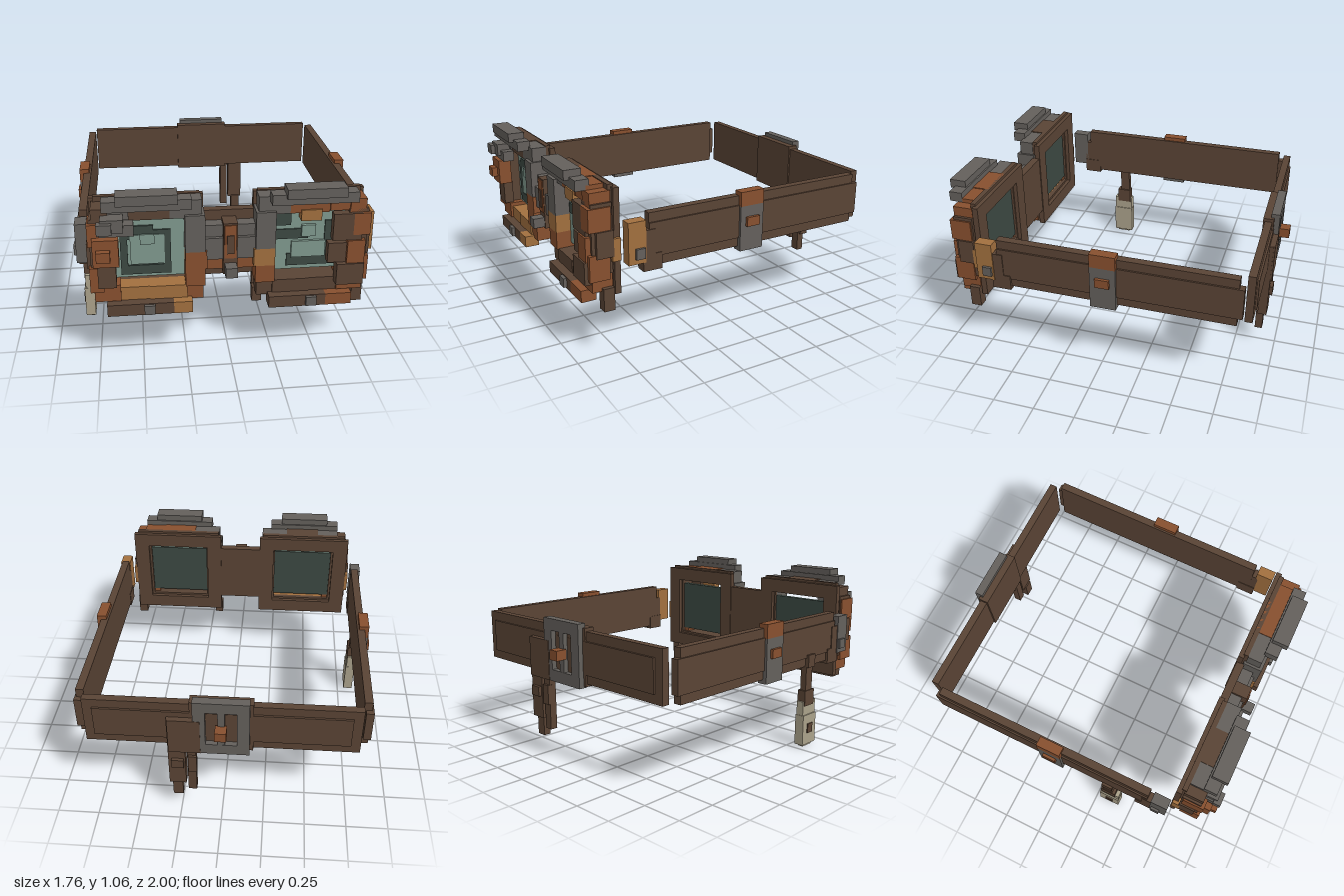
import * as THREE from 'three';

const paint = (name, color) => Object.assign(new THREE.MeshStandardMaterial({ color }), { name });

export function createModel() {
  const leather = paint('brown leather', 0x5a4435);
  const rust = paint('rust', 0x88502f);
  const ochre = paint('worn brass', 0xa2703f);
  const iron = paint('grey iron', 0x64605c);
  const glass = paint('teal glass', 0x80998e);
  const shade = paint('dark glass', 0x3c4943);
  const bone = paint('bone tag', 0xaba28b);

  const model = new THREE.Group();
  model.name = 'goggles';
  const group = (name, mirror = 1) => {
    const g = new THREE.Group();
    g.name = name;
    g.userData.mirror = mirror;
    model.add(g);
    return g;
  };
  // Block between two corners; a mirrored group flips x
  const block = (g, name, mat, x0, x1, y0, y1, z0, z1) => {
    const mesh = new THREE.Mesh(new THREE.BoxGeometry(x1 - x0, y1 - y0, z1 - z0), mat);
    mesh.position.set(g.userData.mirror * (x0 + x1) / 2, (y0 + y1) / 2, (z0 + z1) / 2);
    mesh.name = name;
    g.add(mesh);
  };
  // Square ring with a square hole, made of four bars
  const ring = (g, name, mat, x0, x1, y0, y1, z0, z1, w, h) => {
    block(g, name, mat, x0, x1, y1 - h, y1, z0, z1);
    block(g, name, mat, x0, x1, y0, y0 + h, z0, z1);
    block(g, name, mat, x0, x0 + w, y0 + h, y1 - h, z0, z1);
    block(g, name, mat, x1 - w, x1, y0 + h, y1 - h, z0, z1);
  };

  for (const s of [-1, 1]) {
    const left = s === 1;
    const side = left ? 'left' : 'right';

    // Eyepiece: back rim, stepped shell and caps
    const eye = group(side + 'Eyepiece', s);
    ring(eye, 'backRim', leather, 0.14, 0.765, 0.37, 0.975, 0.735, 0.77, 0.1, 0.09);
    ring(eye, 'innerRim', leather, 0.16, 0.74, 0.375, 0.99, 0.76, 0.79, 0.09, 0.1);
    block(eye, 'shellTopInner', iron, 0.155, 0.33, 0.88, 0.985, 0.79, 0.88);
    block(eye, 'shellTop', left ? rust : leather, 0.33, 0.55, 0.88, 0.99, 0.765, 0.88);
    block(eye, 'shellTopOuter', left ? rust : iron, 0.55, 0.69, 0.89, 0.985, 0.79, 0.89);
    block(eye, 'shellCornerOuter', left ? rust : leather, 0.66, 0.75, 0.88, 0.96, 0.78, 0.9);
    block(eye, 'browCap', iron, 0.215, 0.69, 0.96, 1.02, 0.87, 0.95);
    block(eye, 'topCap', iron, 0.29, 0.615, 1.005, 1.06, 0.88, 0.98);
    block(eye, 'innerPostTop', iron, 0.14, 0.25, 0.68, 0.9, 0.78, 0.9);
    block(eye, 'innerPostMiddle', left ? ochre : rust, 0.13, 0.25, 0.575, 0.68, 0.79, 0.9);
    block(eye, 'innerPostBottom', rust, 0.14, 0.25, 0.47, 0.575, 0.78, 0.9);
    block(eye, 'innerFoot', left ? leather : rust, 0.15, 0.24, 0.38, 0.47, 0.79, 0.88);
    block(eye, 'bottomBarInner', left ? leather : ochre, 0.24, 0.45, 0.38, 0.475, 0.79, 0.89);
    block(eye, 'bottomBarOuter', left ? leather : ochre, 0.45, 0.65, 0.38, 0.475, 0.79, 0.885);
    block(eye, 'bottomCorner', rust, 0.61, 0.755, 0.4, 0.5, 0.78, 0.9);
    block(eye, 'chinInner', left ? leather : ochre, 0.215, 0.32, 0.325, 0.395, 0.85, 0.94);
    block(eye, 'chin', leather, 0.32, 0.54, 0.325, 0.395, 0.85, 0.94);
    block(eye, 'chinOuter', left ? rust : leather, 0.54, 0.69, 0.325, 0.395, 0.85, 0.94);
    block(eye, 'chinBolt', iron, 0.425, 0.485, 0.335, 0.39, 0.93, 0.96);
    block(eye, 'outerPost', leather, 0.655, 0.765, 0.5, 0.9, 0.78, 0.9);
    block(eye, 'cheekPlateLow', rust, 0.7, 0.775, 0.47, 0.62, 0.8, 0.92);
    block(eye, 'cheekPlate', leather, 0.7, 0.785, 0.6, 0.75, 0.78, 0.88);
    block(eye, 'cheekPlateHigh', rust, 0.68, 0.775, 0.75, 0.88, 0.79, 0.92);
    block(eye, 'cheekStud', ochre, 0.74, 0.785, 0.57, 0.7, 0.74, 0.79);

    // Lens: glass pane with a dark back
    block(eye, 'lensBack', shade, 0.25, 0.655, 0.5, 0.855, 0.775, 0.785);
    block(eye, 'lensPane', glass, 0.25, 0.655, 0.5, 0.855, 0.785, 0.81);
    if (left) {
      // Cracked lens with shards
      block(eye, 'crackFrame', shade, 0.33, 0.61, 0.525, 0.6, 0.81, 0.818);
      block(eye, 'crackCorner', shade, 0.252, 0.35, 0.78, 0.853, 0.81, 0.818);
      block(eye, 'crackBand', shade, 0.265, 0.45, 0.695, 0.755, 0.81, 0.818);
      block(eye, 'crackSide', shade, 0.545, 0.61, 0.6, 0.8, 0.81, 0.818);
      block(eye, 'innerPane', glass, 0.355, 0.55, 0.58, 0.68, 0.81, 0.826);
      block(eye, 'glint', glass, 0.41, 0.49, 0.71, 0.78, 0.81, 0.83);
      // Brass tooth, cheek patches and hanging scrap
      block(eye, 'topTooth', ochre, 0.39, 0.505, 0.835, 0.9, 0.83, 0.89);
      block(eye, 'patchHigh', leather, 0.565, 0.73, 0.72, 0.88, 0.87, 0.92);
      block(eye, 'patchMiddle', leather, 0.545, 0.66, 0.58, 0.7, 0.86, 0.91);
      block(eye, 'patchSide', rust, 0.65, 0.75, 0.58, 0.72, 0.87, 0.93);
      block(eye, 'patchLow', leather, 0.595, 0.75, 0.45, 0.58, 0.87, 0.94);
      block(eye, 'scrap', leather, 0.72, 0.78, 0.285, 0.42, 0.78, 0.845);
      block(eye, 'innerScrap', leather, 0.135, 0.19, 0.31, 0.4, 0.78, 0.83);
    } else {
      ring(eye, 'lensFrame', shade, 0.325, 0.605, 0.52, 0.79, 0.81, 0.82, 0.04, 0.055);
      block(eye, 'frameTab', shade, 0.42, 0.57, 0.78, 0.818, 0.81, 0.822);
      block(eye, 'innerPane', glass, 0.36, 0.55, 0.585, 0.765, 0.81, 0.826);
      block(eye, 'glint', glass, 0.415, 0.495, 0.71, 0.77, 0.826, 0.834);
      // Iron brow patch and rusty side clip
      block(eye, 'browPatch', iron, 0.58, 0.7, 0.85, 0.925, 0.88, 0.97);
      block(eye, 'browPatchLow', iron, 0.525, 0.71, 0.82, 0.885, 0.88, 0.95);
      block(eye, 'browBolt', iron, 0.64, 0.72, 0.85, 0.91, 0.95, 0.995);
      block(eye, 'sideClip', rust, 0.61, 0.75, 0.645, 0.805, 0.88, 0.96);
      block(eye, 'sideKnob', rust, 0.655, 0.73, 0.69, 0.75, 0.96, 0.995);
      block(eye, 'cheekPatch', leather, 0.63, 0.73, 0.5, 0.645, 0.87, 0.93);
    }

    // Side strap with raised centre panel
    const strap = group(side + 'Strap', s);
    block(strap, 'strapBand', leather, 0.788, 0.835, 0.525, 0.83, -0.82, 0.6);
    block(strap, 'strapPanel', leather, 0.8, 0.845, 0.58, 0.775, -0.85, 0.6);
    block(strap, 'strapStitchPatch', leather, 0.785, 0.85, 0.505, 0.6, 0.525, 0.64);
    block(strap, 'strapEnd', leather, 0.79, 0.85, 0.6, 0.74, 0.565, 0.64);
    block(strap, 'strapHinge', left ? ochre : iron, 0.79, 0.855, 0.56, 0.8, 0.625, 0.73);
    block(strap, 'hingeStud', iron, 0.84, 0.87, 0.59, 0.65, 0.635, 0.69);

    // Side buckle
    block(strap, 'buckleTop', rust, 0.8, 0.86, 0.77, 0.855, -0.13, 0.025);
    block(strap, 'bucklePlate', iron, 0.8, 0.86, 0.5, 0.77, -0.13, 0.025);
    block(strap, 'buckleKnob', rust, 0.855, 0.878, 0.65, 0.705, -0.095, -0.01);
  }

  // Nose bridge
  const bridge = group('bridge');
  block(bridge, 'bridgePlate', leather, -0.145, 0.145, 0.48, 0.88, 0.74, 0.79);
  for (const s of [-1, 1]) {
    const half = group('bridgeHalf', s);
    block(half, 'bridgeBar', iron, 0.03, 0.145, 0.62, 0.75, 0.79, 0.88);
    block(half, 'bridgeBarHigh', iron, 0.03, 0.14, 0.75, 0.82, 0.79, 0.86);
    block(half, 'bridgeBarLow', rust, 0.03, 0.14, 0.545, 0.62, 0.79, 0.85);
  }
  block(bridge, 'bridgeSpine', leather, -0.04, 0.04, 0.53, 0.84, 0.79, 0.89);
  block(bridge, 'spineRust', rust, -0.033, 0.033, 0.63, 0.83, 0.89, 0.896);
  block(bridge, 'spineGroove', leather, -0.02, 0.02, 0.66, 0.77, 0.896, 0.902);
  block(bridge, 'spineBolt', iron, -0.033, 0.033, 0.54, 0.6, 0.88, 0.96);

  // Back strap
  const back = group('backStrap');
  block(back, 'backBand', leather, -0.785, 0.785, 0.525, 0.83, -0.9, -0.855);
  block(back, 'backPanel', leather, -0.73, 0.73, 0.58, 0.775, -0.912, -0.86);
  block(back, 'buckleBacking', leather, -0.18, 0.18, 0.51, 0.85, -0.91, -0.845);
  ring(back, 'backBuckle', iron, -0.16, 0.16, 0.5, 0.875, -0.942, -0.89, 0.07, 0.07);
  block(back, 'buckleTongue', iron, -0.02, 0.02, 0.55, 0.82, -0.94, -0.905);
  block(back, 'buckleKnob', rust, -0.033, 0.033, 0.65, 0.71, -1, -0.93);

  // Loose strap tails
  block(back, 'tailTop', leather, 0.12, 0.305, 0.5, 0.74, -0.945, -0.9);
  block(back, 'tailWide', leather, 0.21, 0.31, 0.24, 0.74, -0.935, -0.88);
  block(back, 'tailKeeper', leather, 0.22, 0.29, 0.38, 0.44, -0.955, -0.93);
  block(back, 'tailTip', leather, 0.235, 0.295, 0.12, 0.25, -0.915, -0.87);
  block(back, 'tailThin', leather, 0.15, 0.2, 0.18, 0.52, -0.925, -0.88);
  block(back, 'tailThinKnot', leather, 0.145, 0.195, 0.34, 0.46, -0.94, -0.9);

  // Hanging tag
  const tag = group('hangingTag');
  block(tag, 'tagLoop', leather, -0.86, -0.8, 0.52, 0.6, 0.3, 0.37);
  block(tag, 'tagCord', leather, -0.845, -0.805, 0.36, 0.54, 0.3, 0.365);
  block(tag, 'tagKnot', leather, -0.85, -0.795, 0.27, 0.37, 0.29, 0.385);
  block(tag, 'tagPlate', bone, -0.853, -0.793, 0.015, 0.21, 0.277, 0.412);
  block(tag, 'tagShoulder', bone, -0.845, -0.798, 0.21, 0.3, 0.28, 0.41);
  block(tag, 'tagBase', bone, -0.84, -0.805, 0, 0.015, 0.3, 0.39);
  block(tag, 'tagMark', leather, -0.86, -0.853, 0.09, 0.15, 0.32, 0.37);
  return model;
}
